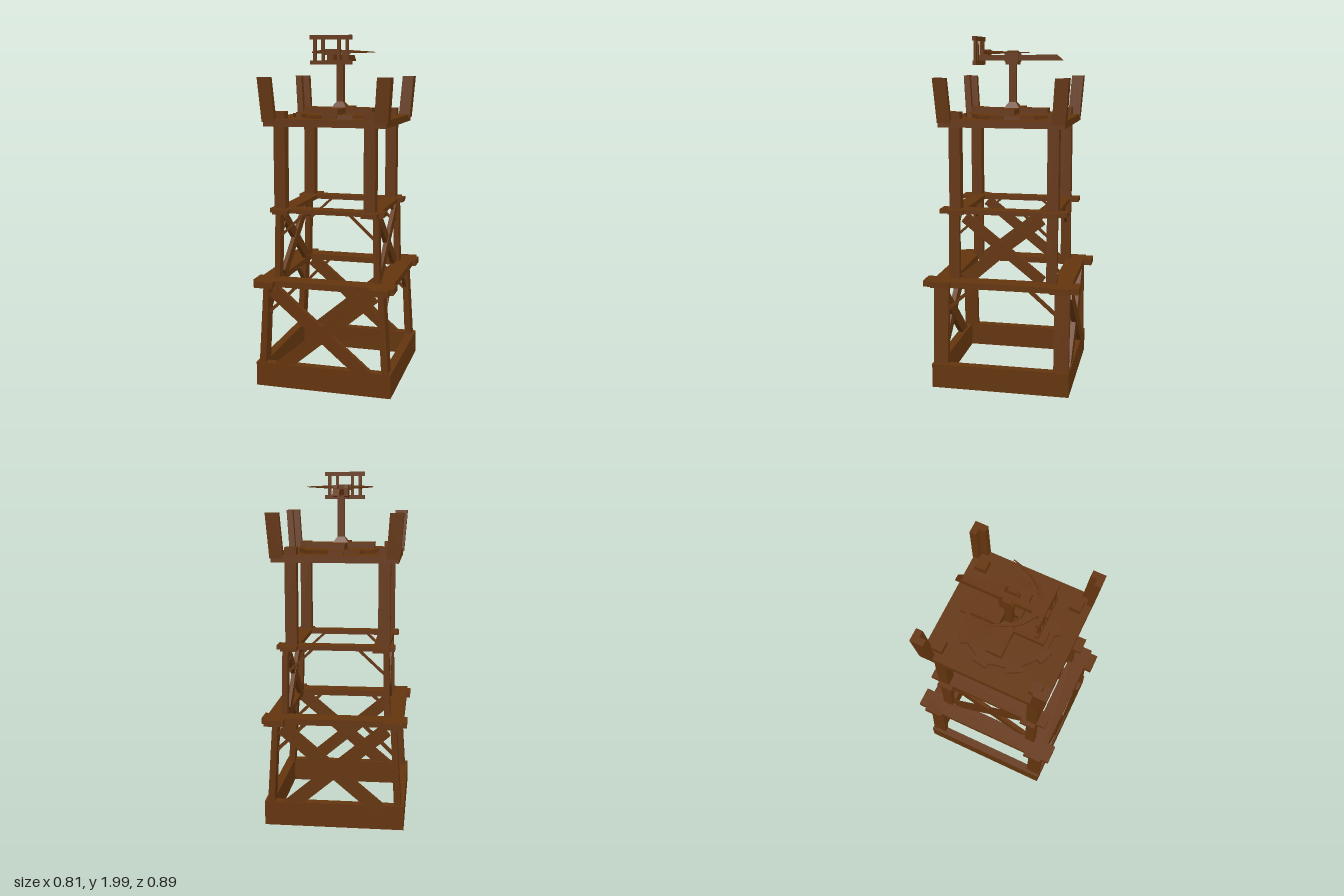
import * as THREE from 'three';

const wood = new THREE.MeshStandardMaterial({ color: 0x64350e });
wood.name = 'brown wood';

export function createModel() {
  const root = new THREE.Group();
  root.name = 'watchtower';

  const add = (name, geo) => {
    const m = new THREE.Mesh(geo, wood);
    m.name = name;
    root.add(m);
    return m;
  };
  // Box from minimum and maximum corners
  const box = (name, x0, x1, y0, y1, z0, z1) => {
    const m = add(name, new THREE.BoxGeometry(x1 - x0, y1 - y0, z1 - z0));
    m.position.set((x0 + x1) / 2, (y0 + y1) / 2, (z0 + z1) / 2);
    return m;
  };
  // Box whose top and bottom rectangles [x0, x1, z0, z1] differ
  const taper = (name, y0, y1, bottom, top) => {
    const g = new THREE.BoxGeometry(1, 1, 1);
    const p = g.attributes.position;
    for (let i = 0; i < p.count; i++) {
      const r = p.getY(i) > 0 ? top : bottom;
      p.setXYZ(i, p.getX(i) > 0 ? r[1] : r[0], p.getY(i) > 0 ? y1 : y0, p.getZ(i) > 0 ? r[3] : r[2]);
    }
    g.computeVertexNormals();
    return add(name, g);
  };
  // Sloping bar in the front plane (axis 'x') or the side plane (axis 'z')
  const bar = (name, axis, depthPos, a0, y0, a1, y1, width, depth) => {
    const len = Math.hypot(a1 - a0, y1 - y0);
    const ang = Math.atan2(y1 - y0, a1 - a0);
    const a = (a0 + a1) / 2, y = (y0 + y1) / 2;
    if (axis === 'x') {
      const m = add(name, new THREE.BoxGeometry(len, width, depth));
      m.position.set(a, y, depthPos);
      m.rotation.z = ang;
    } else {
      const m = add(name, new THREE.BoxGeometry(depth, width, len));
      m.position.set(depthPos, y, a);
      m.rotation.x = -ang;
    }
  };
  const sides = [-1, 1];
  const span = (s, a, b) => (s > 0 ? [a, b] : [-b, -a]);

  // Foundation frame
  for (const s of sides) {
    box('foundationBeam', -0.395, 0.395, 0.01, 0.15, ...span(s, 0.345, 0.395));
    box('foundationBeam', ...span(s, 0.345, 0.395), 0.01, 0.15, -0.36, 0.36);
  }

  // Crossed girders of both storeys
  for (const s of sides) {
    box('lowerGirderAcross', -0.405, 0.405, 0.605, 0.64, ...span(s, 0.285, 0.395));
    box('lowerGirderDeep', ...span(s, 0.275, 0.385), 0.605, 0.64, -0.443, 0.443);
    box('middleGirderAcross', -0.33, 0.33, 1.015, 1.04, ...span(s, 0.22, 0.31));
    box('middleGirderDeep', ...span(s, 0.21, 0.3), 1.015, 1.04, -0.363, 0.363);
  }

  // Corner legs and knee braces
  for (const sx of sides) for (const sz of sides) {
    const z1 = span(sz, 0.305, 0.39), z2 = span(sz, 0.25, 0.31);
    taper('lowerLeg', 0.14, 0.61, [...span(sx, 0.34, 0.378), ...z1], [...span(sx, 0.315, 0.347), ...z1]);
    taper('middleLeg', 0.635, 1.02, [...span(sx, 0.275, 0.308), ...z2], [...span(sx, 0.267, 0.298), ...z2]);
    const ux = sx > 0 ? [0.215, 0.28] : [-0.303, -0.237];
    box('upperLeg', ...ux, 1.035, 1.585, ...span(sz, 0.247, 0.311));

    bar('lowerKneeBrace', 'x', sz * 0.345, sx * 0.335, 0.435, sx * 0.155, 0.61, 0.018, 0.02);
    bar('lowerKneeBrace', 'z', sx * 0.335, sz * 0.315, 0.465, sz * 0.15, 0.61, 0.018, 0.02);
    bar('middleKneeBrace', 'x', sz * 0.28, sx * 0.275, 0.88, sx * 0.125, 1.02, 0.014, 0.015);
    bar('middleKneeBrace', 'z', sx * 0.28, sz * 0.26, 0.895, sz * 0.12, 1.02, 0.014, 0.015);
  }

  // Crossed bracing: front and back below, both sides above
  for (const s of sides) for (const d of sides) {
    bar('lowerCrossBrace', 'x', s * 0.378 + d * 0.003, -d * 0.29, 0.585, d * 0.285, 0.1, 0.075, 0.03);
    bar('middleCrossBrace', 'z', s * 0.283 + d * 0.002, -d * 0.22, 0.995, d * 0.225, 0.642, 0.06, 0.024);
  }

  // Platform
  box('platform', -0.348, 0.348, 1.505, 1.545, -0.352, 0.352);

  // Outward leaning angle posts on the platform corners
  const ell = new THREE.Shape([
    [0, 0], [0.074, 0], [0.074, 0.037], [0.037, 0.037], [0.037, 0.074], [0, 0.074],
  ].map(([x, y]) => new THREE.Vector2(x, y)));
  for (let k = 0; k < 4; k++) {
    const g = new THREE.ExtrudeGeometry(ell, { depth: 0.245, bevelEnabled: false });
    g.rotateX(Math.PI / 2);
    g.translate(-0.373, 1.773, -0.373);
    const p = g.attributes.position;
    for (let i = 0; i < p.count; i++) {
      const lean = (1.773 - p.getY(i)) * 0.075;
      p.setX(i, p.getX(i) + lean);
      p.setZ(i, p.getZ(i) + lean);
    }
    g.computeVertexNormals();
    add('cornerPost', g).rotation.y = k * Math.PI / 2;
  }

  // Nine-toothed turntable
  const gear = new THREE.Shape();
  for (let k = 0; k < 9; k++) {
    const c = Math.PI / 2 + k * 2 * Math.PI / 9;
    [[-0.17, 0.246], [-0.152, 0.276], [0.152, 0.276], [0.17, 0.246]].forEach(([da, r], j) => {
      const x = r * Math.cos(c + da), y = r * Math.sin(c + da);
      if (k + j === 0) gear.moveTo(x, y); else gear.lineTo(x, y);
    });
  }
  const gearGeo = new THREE.ExtrudeGeometry(gear, { depth: 0.022, bevelEnabled: false });
  gearGeo.rotateX(-Math.PI / 2);
  add('turntable', gearGeo).position.y = 1.543;

  // Crossed feet and column
  box('footAcross', -0.197, 0.197, 1.563, 1.597, -0.045, 0.045);
  box('footDeep', -0.042, 0.042, 1.563, 1.597, -0.21, 0.215);
  taper('columnFlare', 1.595, 1.63, [-0.045, 0.045, -0.045, 0.045], [-0.02, 0.02, -0.02, 0.02]);
  box('column', -0.02, 0.02, 1.6, 1.87, -0.02, 0.02);

  // Swivel bracket: base plate and two chamfered cheeks
  box('bracketBase', -0.042, 0.042, 1.842, 1.864, -0.035, 0.035);
  const cheek = new THREE.Shape([
    [-0.04, 1.86], [-0.025, 1.842], [0.025, 1.842], [0.04, 1.86], [0.04, 1.905], [0.022, 1.922], [-0.022, 1.922], [-0.04, 1.905],
  ].map(([x, y]) => new THREE.Vector2(x, y)));
  for (const s of sides) {
    const g = new THREE.ExtrudeGeometry(cheek, { depth: 0.022, bevelEnabled: false });
    g.rotateY(Math.PI / 2);
    add('bracketCheek', g).position.x = s > 0 ? 0.02 : -0.042;
  }

  // Stock with a slanted end
  const stock = new THREE.Shape([
    [-0.215, 1.864], [0.292, 1.864], [0.255, 1.897], [-0.215, 1.897],
  ].map(([x, y]) => new THREE.Vector2(x, y)));
  const stockGeo = new THREE.ExtrudeGeometry(stock, { depth: 0.036, bevelEnabled: false });
  stockGeo.rotateY(Math.PI / 2);
  add('stock', stockGeo).position.x = -0.018;
  box('bowBlock', -0.043, 0.043, 1.893, 1.926, 0.137, 0.188);

  // Upright frame
  for (const y of [1.84, 1.976]) box('frameRail', -0.119, 0.119, y, y + 0.024, 0.19, 0.21);
  for (const x of [-0.092, -0.045, 0.045, 0.092]) {
    box('frameUpright', x - 0.009, x + 0.009, 1.86, 1.98, 0.193, 0.207);
  }

  // Tapered bow limbs built from square cross-sections
  const path = [[0.03, 0.158, 0.013], [0.1, 0.117, 0.01], [0.135, 0.07, 0.007], [0.165, 0.01, 0.005], [0.189, -0.063, 0.002]];
  for (const s of sides) {
    const pos = [], idx = [];
    path.forEach(([x, z, r], i) => {
      const a = path[Math.max(0, i - 1)], b = path[Math.min(path.length - 1, i + 1)];
      const l = Math.hypot(b[0] - a[0], b[1] - a[1]);
      const nx = -(b[1] - a[1]) / l, nz = (b[0] - a[0]) / l;
      for (const [u, v] of [[-1, -1], [1, -1], [1, 1], [-1, 1]]) {
        pos.push(s * (x + nx * r * u), 1.911 + r * 0.8 * v, z + nz * r * u);
      }
      if (i === 0) return;
      for (let k = 0; k < 4; k++) {
        const p = (i - 1) * 4 + k, q = (i - 1) * 4 + (k + 1) % 4;
        if (s > 0) idx.push(p, p + 4, q, q, p + 4, q + 4);
        else idx.push(p, q, p + 4, q, q + 4, p + 4);
      }
    });
    // Make the winding point outwards
    const g = new THREE.BufferGeometry();
    g.setAttribute('position', new THREE.Float32BufferAttribute(pos, 3));
    const A = new THREE.Vector3(...pos.slice(0, 3)), mid = new THREE.Vector3(s * path[0][0], 1.911, path[0][1]);
    const P = (i) => new THREE.Vector3(...pos.slice(i * 3, i * 3 + 3));
    const n = P(idx[1]).sub(P(idx[0])).cross(P(idx[2]).sub(P(idx[0])));
    if (n.dot(A.sub(mid)) < 0) idx.reverse();
    g.setIndex(idx);
    const flat = g.toNonIndexed();
    flat.computeVertexNormals();
    add('bowLimb', flat);
  }
  box('bowString', -0.189, 0.189, 1.9095, 1.9125, -0.0635, -0.0605);

  return root;
}
